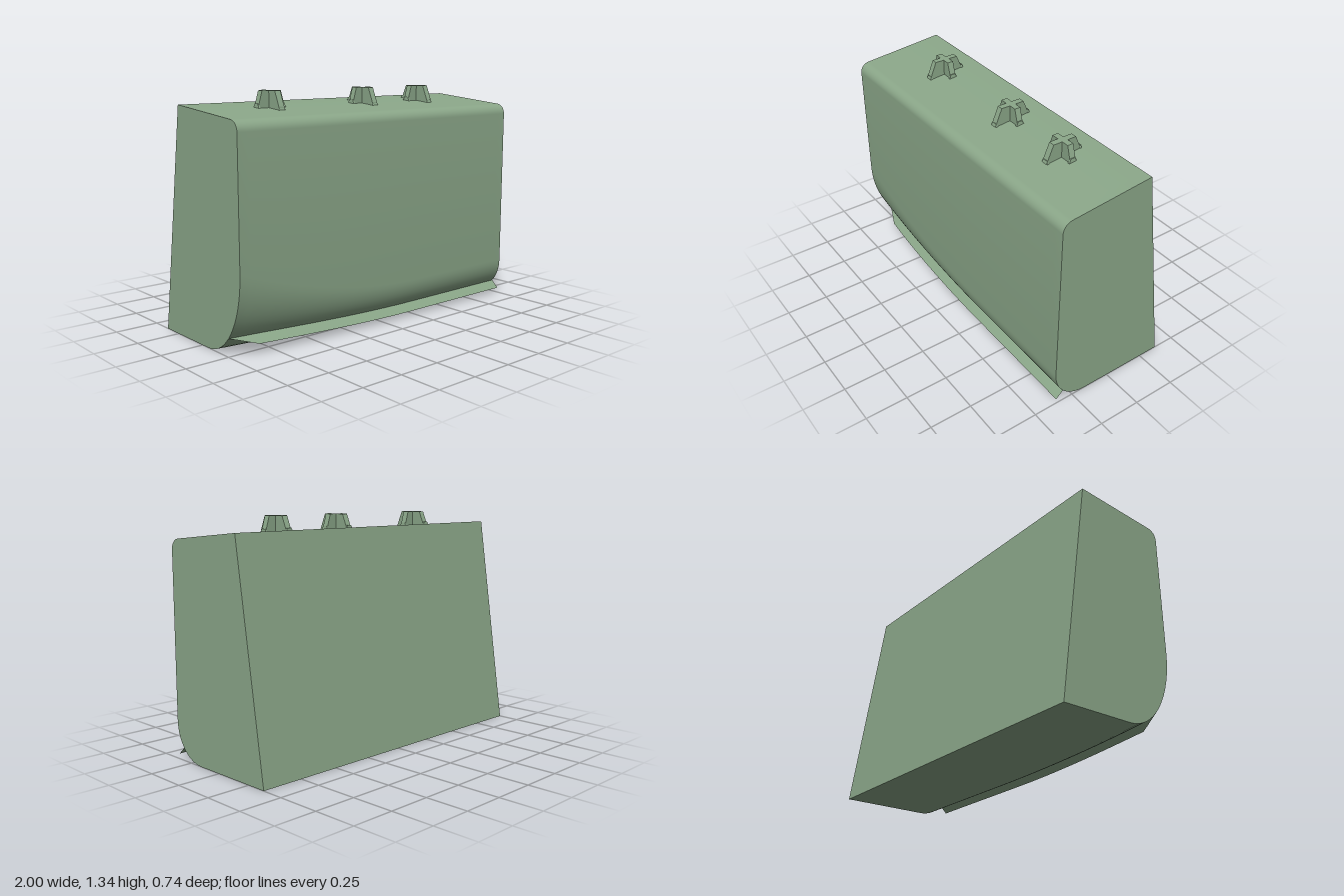
import * as THREE from 'three';
import { toCreasedNormals } from 'three/addons/utils/BufferGeometryUtils.js';

const FRONT = 0.37;
const SECTIONS = 32;

// Lower front rounding grows towards the -x end
const blend = (x) => Math.max(0, (0.25 - x) / 1.25) ** 2;
const depthAt = (x) => 0.21 + 0.1 * blend(x);
const heightAt = (x) => 0.22 + 0.24 * blend(x);

function lowerArc(x, angle) {
  const a = depthAt(x), b = heightAt(x);
  return [FRONT - a + a * Math.cos(angle), b * (1 - Math.sin(angle))];
}

// Cross-section as [z, y], from the back foot round the front to the back top
function section(x) {
  const pts = [[-FRONT, 0]];
  for (let i = 0; i <= 16; i++) pts.push(lowerArc(x, (1 - i / 16) * Math.PI / 2));
  for (let i = 0; i <= 8; i++) {
    const t = (i / 8) * 1.47;
    pts.push([0.31 + 0.06 * Math.cos(t), 1.16 + 0.06 * Math.sin(t)]);
  }
  pts.push([-0.18, 1.268]);
  return pts;
}

function indexed(positions, index) {
  const g = new THREE.BufferGeometry();
  g.setAttribute('position', new THREE.Float32BufferAttribute(positions, 3));
  g.setIndex(index);
  return g;
}

function bodyGeometry() {
  const pos = [], idx = [];
  const n = section(0).length;
  for (let i = 0; i <= SECTIONS; i++) {
    const x = -1 + (2 * i) / SECTIONS;
    for (const [z, y] of section(x)) pos.push(x, y, z);
  }
  for (let i = 0; i < SECTIONS; i++) {
    for (let j = 0; j < n; j++) {
      const k = (j + 1) % n;
      const a = i * n + j, b = i * n + k, c = a + n, d = b + n;
      idx.push(a, c, b, b, c, d);
    }
  }
  // Flat ends
  const last = SECTIONS * n;
  for (let j = 1; j < n - 1; j++) {
    idx.push(0, j, j + 1);
    idx.push(last, last + j + 1, last + j);
  }
  return toCreasedNormals(indexed(pos, idx), 0.5);
}

// Thin strip along the lower front curve, tapering out at the -x end
function lipGeometry() {
  const pos = [], idx = [];
  const count = 40;
  for (let i = 0; i <= count; i++) {
    const x = -1 + (2 * i) / count;
    const [z, y] = lowerArc(x, 0.738 + 0.16 * blend(x));
    const w = Math.min(1, (x + 1) / 0.15);
    pos.push(x, y + 0.004, z - 0.004, x, y - 0.042 * w, z + 0.045 * w);
    if (i < count) {
      const a = i * 2;
      idx.push(a, a + 1, a + 2, a + 2, a + 1, a + 3);
    }
  }
  const g = indexed(pos, idx);
  g.computeVertexNormals();
  return g;
}

// Upright trapezoid plate, centred on its thickness
function finGeometry(bottom, top, thickness) {
  const s = new THREE.Shape();
  s.moveTo(-bottom, 1.237);
  s.lineTo(bottom, 1.237);
  s.lineTo(top, 1.338);
  s.lineTo(-top, 1.338);
  s.closePath();
  const g = new THREE.ExtrudeGeometry(s, { depth: thickness, bevelEnabled: false });
  return g.translate(0, 0, -thickness / 2);
}

// Small wedge: a box with its top drawn in
function footGeometry() {
  const g = new THREE.BoxGeometry(0.056, 0.03, 0.014);
  const p = g.attributes.position;
  for (let i = 0; i < p.count; i++) {
    if (p.getY(i) > 0) p.setXYZ(i, p.getX(i) * 0.5, p.getY(i), p.getZ(i) * 0.5);
  }
  g.computeVertexNormals();
  return g;
}

export function createModel() {
  const model = new THREE.Group();
  model.name = 'panelBlock';
  const material = new THREE.MeshStandardMaterial({ color: 0x8ba789 });
  const thin = new THREE.MeshStandardMaterial({ color: 0x8ba789, side: THREE.DoubleSide });

  const add = (parent, name, geometry, mat = material) => {
    const mesh = new THREE.Mesh(geometry, mat);
    mesh.name = name;
    parent.add(mesh);
    return mesh;
  };

  add(model, 'body', bodyGeometry());
  add(model, 'lowerLip', lipGeometry(), thin);

  // Cross-shaped studs along the top
  const sideFin = finGeometry(0.092, 0.062, 0.036);
  const depthFin = finGeometry(0.115, 0.072, 0.036).rotateY(Math.PI / 2);
  const foot = footGeometry();
  for (const x of [-0.56, 0.11, 0.56]) {
    const stud = new THREE.Group();
    stud.name = 'topStud';
    stud.position.set(x, 0, 0.03);
    add(stud, 'sideFin', sideFin);
    add(stud, 'depthFin', depthFin);
    for (const s of [-1, 1]) {
      add(stud, 'footAcross', foot).position.set(0, 1.25 - s * 0.01, s * 0.106);
      const end = add(stud, 'footAlong', foot);
      end.position.set(s * 0.084, 1.254, 0);
      end.rotation.y = Math.PI / 2;
    }
    model.add(stud);
  }
  return model;
}
